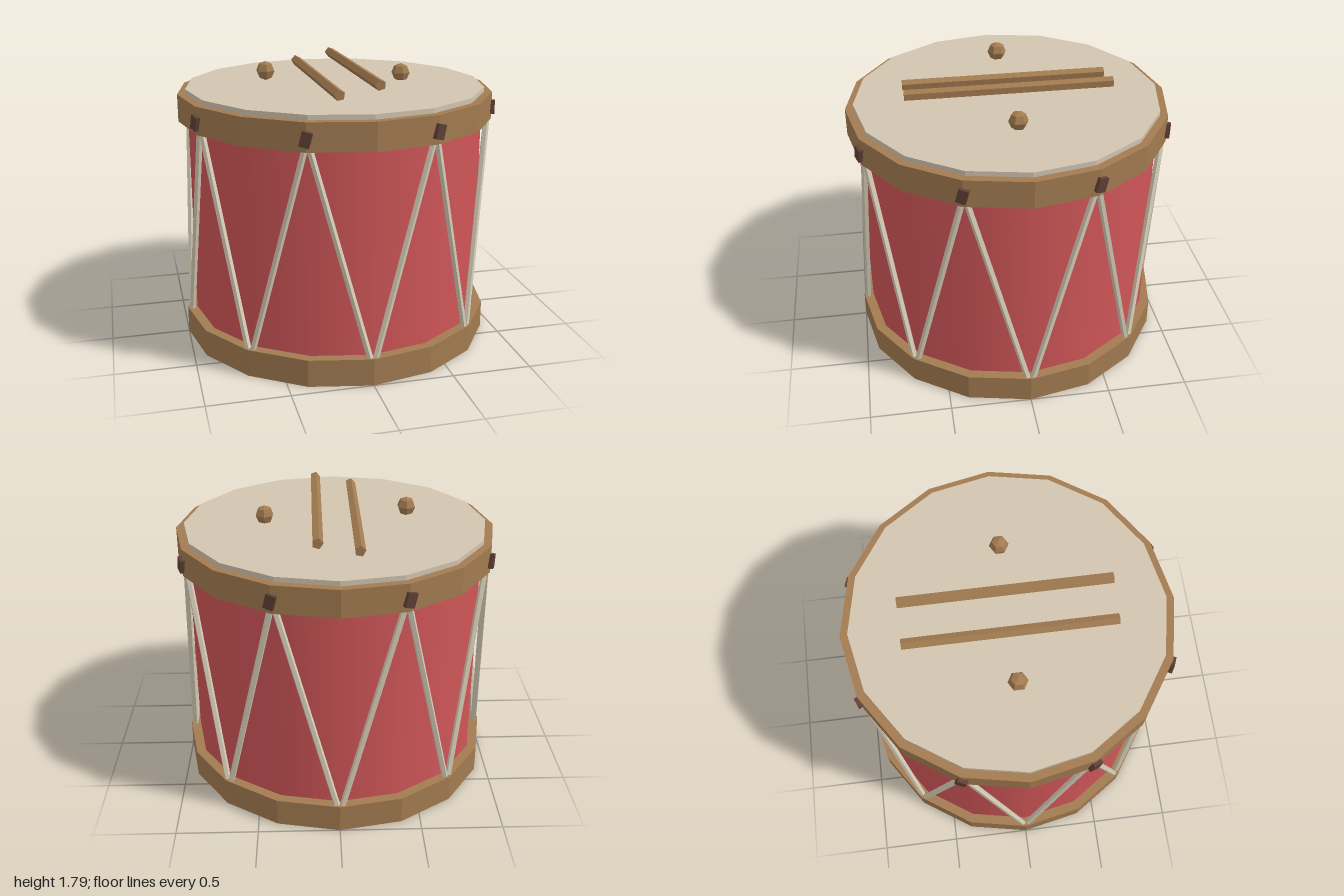
import * as THREE from 'three';

const SIDES = 16;
const flat = (name, color) => new THREE.MeshStandardMaterial({ name, color, flatShading: true });

export function createModel() {
  const drum = new THREE.Group();
  drum.name = 'drum';

  const wood = flat('wood', 0xa27b50);
  const leather = flat('dark leather', 0x5e4035);
  const skin = flat('drum skin', 0xd2c5b1);
  const cord = flat('cord', 0xd8ceb8);
  const red = new THREE.MeshStandardMaterial({ name: 'red shell', color: 0xd05658 });

  const add = (name, geometry, material, x = 0, y = 0, z = 0) => {
    const mesh = new THREE.Mesh(geometry, material);
    mesh.name = name;
    mesh.position.set(x, y, z);
    drum.add(mesh);
    return mesh;
  };
  const onCircle = (angle, r, y) => new THREE.Vector3(Math.sin(angle) * r, y, Math.cos(angle) * r);

  // Smooth red shell, closed at the bottom
  add('shell', new THREE.CylinderGeometry(0.938, 0.938, 1.59, SIDES), red, 0, 0.797, 0);

  // Wooden hoops
  const hoop = (name, y0, y1) => {
    const profile = [[0.93, y0], [1, y0], [1, y1], [0.93, y1], [0.93, y0]]
      .map(([r, y]) => new THREE.Vector2(r, y));
    add(name, new THREE.LatheGeometry(profile, SIDES), wood);
  };
  hoop('bottomHoop', 0, 0.172);
  hoop('topHoop', 1.435, 1.605);

  // Skin stretched over the top
  add('drumHead', new THREE.CylinderGeometry(0.95, 0.95, 0.05, SIDES), skin, 0, 1.61, 0);

  // Leather pegs and the two cords running down from each one
  const up = new THREE.Vector3(0, 1, 0);
  for (let i = 0; i < 8; i++) {
    const angle = (i + 0.5) * Math.PI / 4;
    const p = onCircle(angle, 0.99, 1.51);
    const peg = add('peg', new THREE.BoxGeometry(0.06, 0.088, 0.06), leather, p.x, p.y, p.z);
    peg.rotation.set(0, angle, -0.25, 'YXZ');

    const top = onCircle(angle, 0.975, 1.5);
    for (const side of [-1, 1]) {
      const bottom = onCircle(angle + side * Math.PI / 8, 0.975, 0.1);
      const dir = top.clone().sub(bottom);
      const mid = top.clone().add(bottom).multiplyScalar(0.5);
      const rope = add('cord', new THREE.CylinderGeometry(0.02, 0.02, dir.length(), 5), cord, mid.x, mid.y, mid.z);
      rope.quaternion.setFromUnitVectors(up, dir.normalize());
    }
  }

  // Pair of five-sided sticks with their round tips
  for (const [x, y, turn] of [[-0.123, 1.683, -0.44], [0.12, 1.731, -0.33]]) {
    const stick = new THREE.CylinderGeometry(0.034, 0.034, 1.28, 5);
    stick.rotateX(Math.PI / 2).rotateZ(turn);
    add('stick', stick, wood, x, y, 0);
  }
  for (const [x, y] of [[-0.445, 1.731], [0.443, 1.683]]) {
    add('stickTip', new THREE.SphereGeometry(0.06, 6, 4).rotateY(Math.PI / 6), wood, x, y, 0);
  }

  return drum;
}
